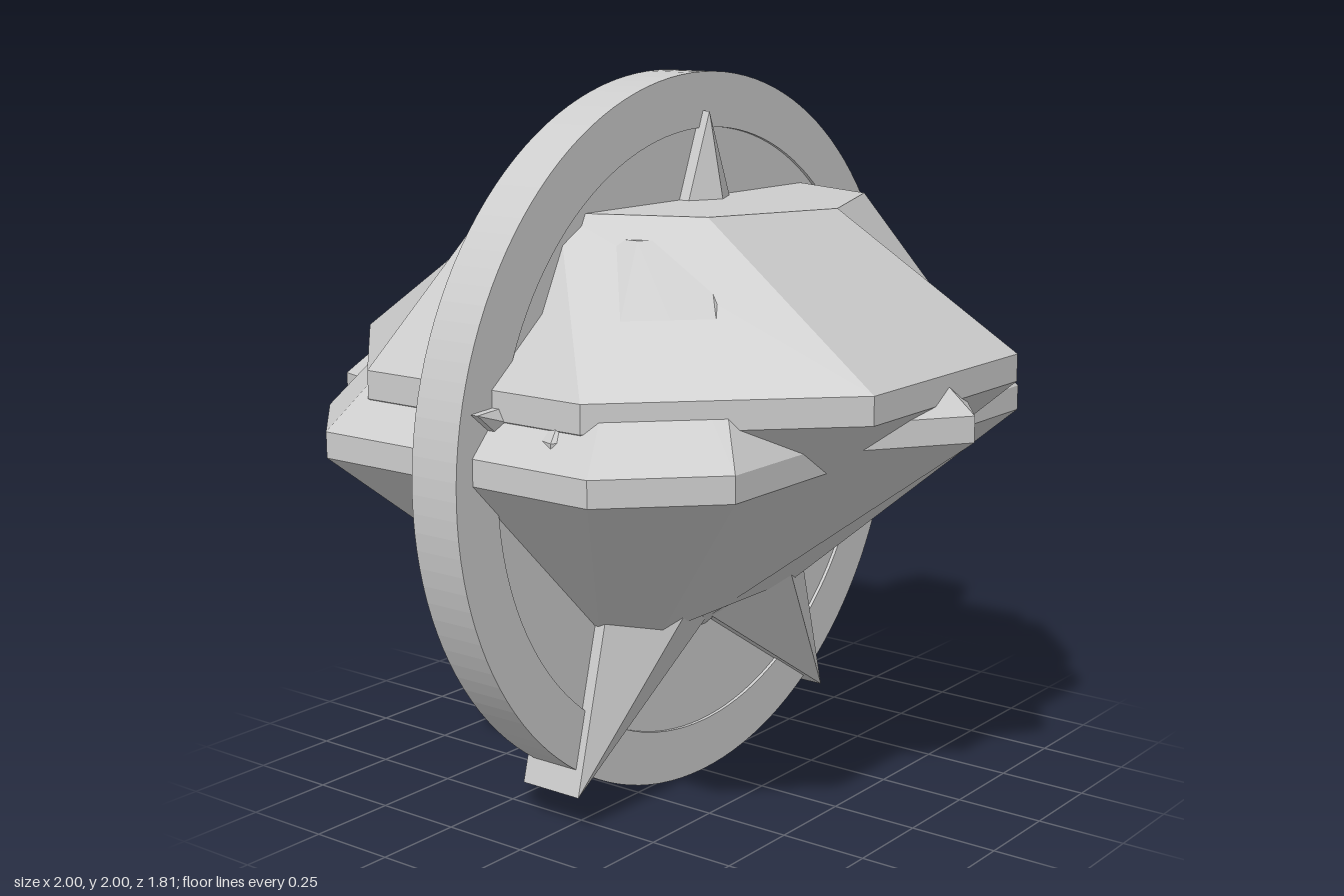
import * as THREE from 'three';

const CZ = -0.037; // common centre plane of every part

// Collects flat faces; a bent quad keeps one shared normal
function faceBuilder() {
  const pos = [], nor = [];
  const V = (p) => new THREE.Vector3(...p);
  const push = (n, ...pts) => pts.forEach((p) => { pos.push(...p); nor.push(n.x, n.y, n.z); });
  return {
    tri(a, b, c) {
      push(V(b).sub(V(a)).cross(V(c).sub(V(a))).normalize(), a, b, c);
    },
    quad(a, b, c, d) {
      const n = V(c).sub(V(a)).cross(V(d).sub(V(b))).normalize();
      push(n, a, b, d, b, c, d);
    },
    build() {
      const g = new THREE.BufferGeometry();
      g.setAttribute('position', new THREE.Float32BufferAttribute(pos, 3));
      g.setAttribute('normal', new THREE.Float32BufferAttribute(nor, 3));
      return g;
    },
  };
}

// Gem from horizontal rings listed bottom to top, capped at both ends
function gem(rings) {
  const f = faceBuilder(), n = rings[0].length;
  for (let k = 0; k < rings.length - 1; k++) {
    const lo = rings[k], hi = rings[k + 1];
    for (let i = 0; i < n; i++) {
      const j = (i + 1) % n;
      f.quad(lo[i], lo[j], hi[j], hi[i]);
    }
  }
  const bottom = rings[0], top = rings[rings.length - 1];
  for (let i = 1; i < n - 1; i++) {
    f.tri(top[0], top[i], top[i + 1]);
    f.tri(bottom[0], bottom[i + 1], bottom[i]);
  }
  return f.build();
}

// Regular ring, angle measured from the front towards +x
function ring(n, r, y, turn = 0) {
  return Array.from({ length: n }, (_, i) => {
    const a = ((i + turn) / n) * Math.PI * 2;
    return [r * Math.sin(a), y, r * Math.cos(a)];
  });
}

// Rectangle with cut corners; (x, zi) and (xi, z) are the corner ends
function cutRect(x, zi, xi, z, y) {
  return [[-xi, z], [xi, z], [x, zi], [x, -zi], [xi, -z], [-xi, -z], [-x, -zi], [-x, zi]]
    .map(([px, pz]) => [px, y, pz]);
}

// Five-pointed star with a bulging ridge on front and back
function star() {
  const f = faceBuilder(), cy = 0.905, edge = 0.097, bulge = 0.29;
  const at = (i, z) => {
    const a = (i * Math.PI) / 5, r = i % 2 ? 0.43 : 0.99;
    return [-r * Math.sin(a), cy + r * Math.cos(a), z];
  };
  for (let i = 0; i < 10; i++) {
    const j = (i + 1) % 10;
    f.tri([0, cy, bulge], at(i, edge), at(j, edge));
    f.tri([0, cy, -bulge], at(j, -edge), at(i, -edge));
    f.quad(at(i, edge), at(i, -edge), at(j, -edge), at(j, edge));
  }
  return f.build();
}

export function createModel() {
  const model = new THREE.Group();
  const grey = new THREE.MeshStandardMaterial({ color: 0xcccccc });
  grey.name = 'light grey';
  const add = (name, geometry, parent = model) => {
    const m = new THREE.Mesh(geometry, grey);
    m.name = name;
    parent.add(m);
    return m;
  };

  // Eight-sided gem with a twisted crown
  add('octagonGem', gem([
    ring(8, 0.03, 0.4, -0.5),
    ring(8, 0.936, 1.185, -0.5),
    ring(8, 0.936, 1.26, -0.5),
    ring(8, 0.515, 1.66, -1),
  ]));

  // Wide gem with cut corners
  add('rectangularGem', gem([
    cutRect(0.43, 0.05, 0.31, 0.17, 0.515),
    cutRect(0.94, 0.44, 0.69, 0.69, 1.03),
    cutRect(0.94, 0.44, 0.69, 0.69, 1.1),
    cutRect(0.47, 0.22, 0.345, 0.345, 1.6),
  ]));

  // Five-sided gem with one corner at the front
  add('pentagonGem', gem([
    ring(5, 0.02, 0.41),
    ring(5, 0.942, 1.09),
    ring(5, 0.942, 1.16),
    ring(5, 0.45, 1.58),
  ]));

  add('star', star());

  // Coin: raised rim around a slightly sunken disc
  const coin = new THREE.Group();
  coin.name = 'coin';
  model.add(coin);
  const outline = new THREE.Shape().absarc(0, 0, 1, 0, Math.PI * 2, false);
  outline.holes.push(new THREE.Path().absarc(0, 0, 0.85, 0, Math.PI * 2, true));
  const rim = new THREE.ExtrudeGeometry(outline, { depth: 0.15, bevelEnabled: false, curveSegments: 64 });
  add('coinRim', rim.translate(0, 1, -0.075), coin);
  const disc = new THREE.CylinderGeometry(0.851, 0.851, 0.13, 64);
  add('coinDisc', disc.rotateX(Math.PI / 2).translate(0, 1, 0), coin);

  model.children.forEach((part) => { part.position.z = CZ; });
  return model;
}
